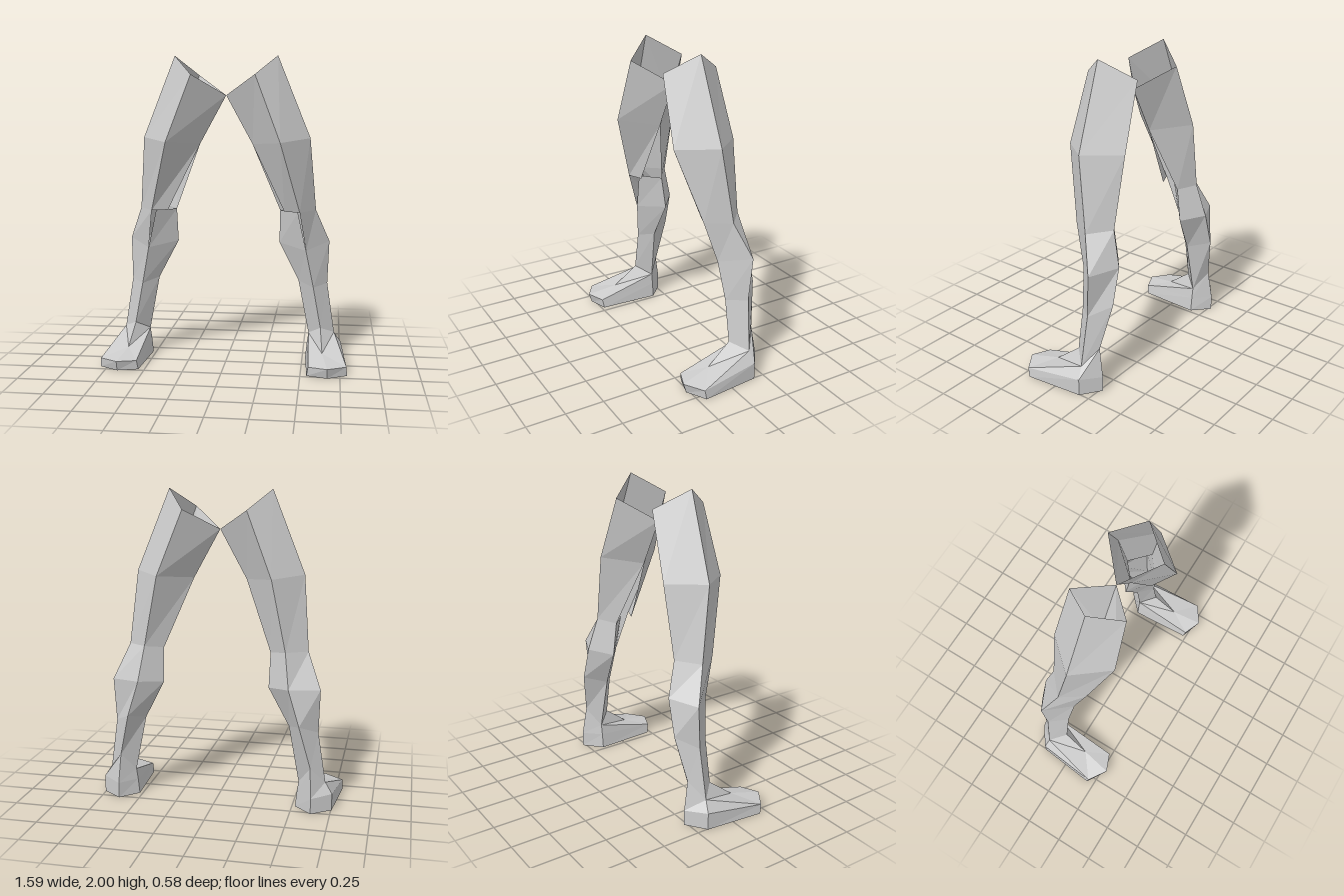
import * as THREE from 'three';

const material = new THREE.MeshStandardMaterial({ color: 0xcccccc, flatShading: true, side: THREE.DoubleSide });

// Edge lines running down the left leg, listed from hip to ankle
const front = [[0.2, 1.88, 0.16], [0.36, 1.46, 0.18], [0.48, 1.01, 0.04], [0.52, 0.75, -0.04], [0.57, 0.5, -0.07], [0.62, 0.23, -0.07]];
const outer = [[0.33, 2, -0.02], [0.54, 1.48, -0.04], [0.58, 1.01, -0.11], [0.67, 0.79, -0.2], [0.66, 0.51, -0.18], [0.71, 0.18, -0.165]];
const back = [[0.2, 1.88, -0.21], [0.36, 1.47, -0.24], [0.45, 1.02, -0.225], [0.48, 0.8, -0.285], [0.55, 0.57, -0.29], [0.62, 0.29, -0.24]];
const inner = [[0, 1.75, -0.03], [0.17, 1.44, -0.03], [0.345, 1.0, -0.14], [0.34, 0.78, -0.17], [0.47, 0.53, -0.15], [0.54, 0.17, -0.165]];

// The inner thigh and the knee have open seams, so these two edges differ
const thighInner = [inner[0], inner[1], [0.38, 1.01, 0]];
const shinFront = [[0.465, 1.0, -0.03], ...front.slice(3)];

// Quads between two edge lines
function strip(a, b) {
  const faces = [];
  for (let i = 0; i < a.length - 1; i++) faces.push([a[i + 1], b[i + 1], b[i], a[i]]);
  return faces;
}

// Flat polygons to a mesh, mirrored across x for the right leg
function facesMesh(name, faces, side) {
  const pos = [];
  for (const face of faces) {
    const loop = side < 0 ? [...face].reverse() : face;
    for (let i = 1; i < loop.length - 1; i++) {
      for (const p of [loop[0], loop[i], loop[i + 1]]) pos.push(p[0] * side, p[1], p[2]);
    }
  }
  const geometry = new THREE.BufferGeometry();
  geometry.setAttribute('position', new THREE.Float32BufferAttribute(pos, 3));
  geometry.computeVertexNormals();
  const mesh = new THREE.Mesh(geometry, material);
  mesh.name = name;
  return mesh;
}

function thighFaces() {
  const cut = (line) => line.slice(0, 3);
  return [
    ...strip(cut(front), cut(outer)),
    ...strip(cut(outer), cut(back)),
    ...strip(cut(back), cut(inner)),
    ...strip(thighInner, cut(front)),
  ];
}

function shinFaces() {
  const cut = (line) => line.slice(2);
  return [
    ...strip(cut(front), cut(outer)),
    ...strip(cut(outer), cut(back)),
    ...strip(cut(back), cut(inner)),
    ...strip(cut(inner), shinFront),
  ];
}

function footFaces() {
  const [aF, aO, aB, aI] = [front, outer, back, inner].map((line) => line[5]);
  const instep = [0.635, 0.105, 0.09];
  // Upper rim and sole: tip, outer toe, outer heel, heel, inner heel, inner toe
  const rim = [[0.67, 0.065, 0.29], [0.79, 0.06, 0.21], [0.755, 0.11, -0.18], [0.63, 0.1, -0.27], [0.53, 0.1, -0.165], [0.55, 0.06, 0.24]];
  const sole = [[0.67, 0, 0.27], [0.795, 0, 0.2], [0.755, 0, -0.18], [0.63, 0, -0.27], [0.52, 0, -0.165], [0.54, 0, 0.23]];
  const [tip, toeO, heelO, heel, heelI, toeI] = rim;
  const faces = [
    // Top of the foot
    [aF, instep, aO], [aO, instep, toeO], [instep, tip, toeO],
    [aF, aI, instep], [aI, toeI, instep], [instep, toeI, tip],
    // Ankle down to the rim
    [aO, toeO, heelO], [heelO, heel, aB, aO], [heel, heelI, aI, aB], [heelI, toeI, aI],
    [...sole].reverse(),
  ];
  // Side wall
  for (let i = 0; i < 6; i++) {
    const j = (i + 1) % 6;
    faces.push([sole[i], sole[j], rim[j], rim[i]]);
  }
  return faces;
}

export function createModel() {
  const model = new THREE.Group();
  model.name = 'legs';
  for (const side of [1, -1]) {
    const leg = new THREE.Group();
    leg.name = side > 0 ? 'leftLeg' : 'rightLeg';
    leg.add(
      facesMesh('thigh', thighFaces(), side),
      facesMesh('shin', shinFaces(), side),
      facesMesh('foot', footFaces(), side),
    );
    model.add(leg);
  }
  return model;
}
